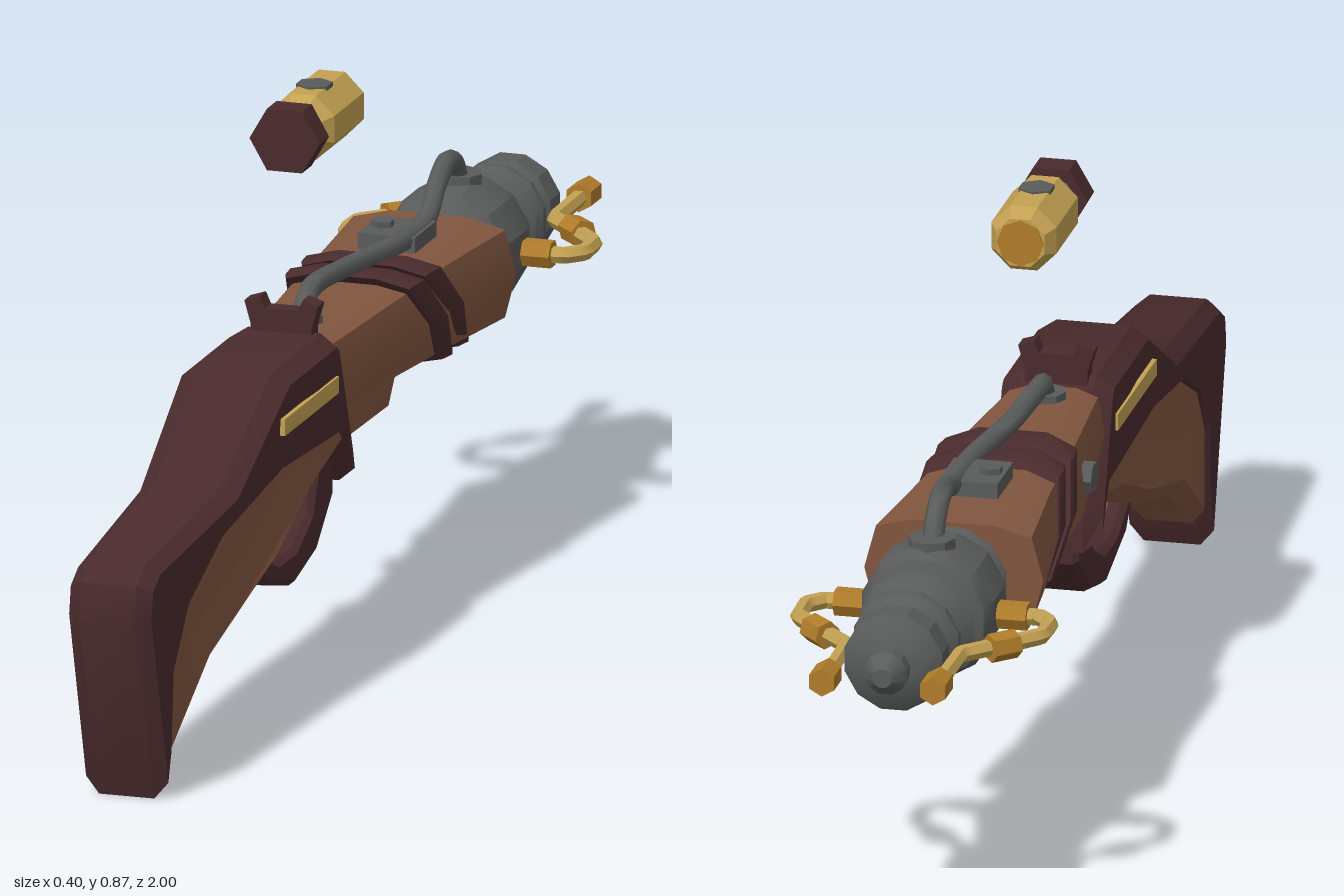
import * as THREE from 'three';
import { toCreasedNormals } from 'three/addons/utils/BufferGeometryUtils.js';

const mat = (name, color) => Object.assign(new THREE.MeshStandardMaterial({ color }), { name });

export function createModel() {
  const root = new THREE.Group();
  root.name = 'rayRifle';
  const dark = mat('darkWood', 0x4a2b2d), wood = mat('lightWood', 0x81563f), steel = mat('steel', 0x5a5b5b),
    brass = mat('brass', 0xc3a152), bronze = mat('bronze', 0xb07c2a);

  const add = (name, geo, material, crease = 0.5) => {
    const mesh = new THREE.Mesh(toCreasedNormals(geo, crease), material);
    mesh.name = name;
    root.add(mesh);
    return mesh;
  };

  // Side profile of [z, y] points, thickened across x and bevelled
  const side = (pts, half, bevel, thick) => {
    const depth = 2 * (half - thick);
    const g = new THREE.ExtrudeGeometry(new THREE.Shape(pts.map(p => new THREE.Vector2(...p))), {
      depth, bevelEnabled: bevel > 0, bevelSize: bevel, bevelOffset: -bevel, bevelThickness: thick, bevelSegments: 1,
    });
    return g.translate(0, 0, -depth / 2).rotateY(-Math.PI / 2);
  };

  // Narrow the stock towards the butt
  const taper = g => {
    const p = g.attributes.position;
    for (let i = 0; i < p.count; i++) {
      const t = THREE.MathUtils.clamp((p.getZ(i) - 0.45) / 0.4, 0, 1);
      p.setX(i, p.getX(i) * (1 - 0.24 * t));
    }
    return g;
  };

  // Faceted body lofted through [z, halfWidth, top, bottom] sections, going from +z to -z
  const half = [[0.87, -0.85], [1, 0], [0.87, 0.82], [0.45, 1]];
  const ring = [[0.45, -1], ...half, ...[...half].reverse().map(([x, y]) => [-x, y]), [-0.45, -1]];
  const loft = (sections, shear = 0) => {
    const n = ring.length, pos = [], idx = [];
    sections.forEach(([z, w, top, bot]) => ring.forEach(([x, y]) => {
      const py = (top + bot) / 2 + y * (top - bot) / 2;
      pos.push(x * w, py, z + shear * (py - 0.45));
    }));
    for (let s = 0; s < sections.length - 1; s++) for (let j = 0; j < n; j++) {
      const a = s * n + j, b = s * n + (j + 1) % n;
      idx.push(a, a + n, b + n, a, b + n, b);
    }
    const e = (sections.length - 1) * n;
    for (let j = 1; j < n - 1; j++) idx.push(0, j, j + 1, e, e + j + 1, e + j);
    const g = new THREE.BufferGeometry();
    g.setAttribute('position', new THREE.Float32BufferAttribute(pos, 3));
    g.setIndex(idx);
    g.computeVertexNormals();
    return g;
  };

  // Turned shape along -z from [radius, -z] points
  const turned = (pts, sides) => new THREE.LatheGeometry(pts.map(p => new THREE.Vector2(...p)), sides,
    Math.PI / sides).rotateX(-Math.PI / 2);

  // Short rod centred at a point and pointing along a direction
  const rod = (name, at, dir, r, len, material, sides = 6) => {
    const m = add(name, new THREE.CylinderGeometry(r, r, len, sides), material);
    m.position.set(...at);
    m.quaternion.setFromUnitVectors(new THREE.Vector3(0, 1, 0), new THREE.Vector3(...dir).normalize());
    return m;
  };

  // Stock: dark shell with a lighter belly
  add('stockShell', taper(side([[1, 0.3], [0.99, 0.355], [0.945, 0.38], [0.62, 0.41], [0.4, 0.53], [0.17, 0.53],
    [0.15, 0.515], [0.085, 0.34], [0.085, 0.28], [0.15, 0.36], [0.43, 0.375], [0.67, 0.335], [0.8, 0.27],
    [0.86, 0.19], [0.87, 0.07], [0.905, 0.005]], 0.085, 0.018, 0.028)), dark);
  add('stockBelly', taper(side([[0.885, 0.045], [0.7, 0.155], [0.43, 0.235], [0.27, 0.3], [0.1, 0.34], [0.1, 0.42],
    [0.43, 0.42], [0.67, 0.38], [0.89, 0.27]], 0.077, 0.025, 0.03)), wood);

  // Rear sight with a notch
  const sight = new THREE.Shape([[-0.048, 0.5], [0.048, 0.5], [0.048, 0.54], [0.058, 0.575], [0.034, 0.583],
    [0.026, 0.565], [-0.026, 0.565], [-0.034, 0.583], [-0.058, 0.575], [-0.048, 0.54]].map(p => new THREE.Vector2(...p)));
  add('rearSight', new THREE.ExtrudeGeometry(sight, { depth: 0.03, bevelEnabled: false }).translate(0, 0, 0.155), dark);

  // Trigger and its guard
  add('triggerGuard', side([[0.46, 0.26], [0.4, 0.2], [0.27, 0.165], [0.165, 0.19], [0.085, 0.26], [0.085, 0.38],
    [0.17, 0.38], [0.165, 0.31], [0.19, 0.255], [0.26, 0.22], [0.34, 0.22], [0.42, 0.255], [0.45, 0.29]],
  0.05, 0.008, 0.01), dark);
  add('trigger', side([[0.42, 0.3], [0.42, 0.25], [0.385, 0.228], [0.26, 0.3], [0.26, 0.34]], 0.022, 0, 0), brass);

  // Brass inlays
  for (const s of [-1, 1]) {
    add('sideInlay', new THREE.BoxGeometry(0.008, 0.026, 0.25).translate(s * 0.085, 0.456, 0.305), brass);
  }

  // Flared wooden barrel and fore-end
  add('barrel', loft([[0.14, 0.078, 0.52, 0.385], [-0.1, 0.1, 0.525, 0.385], [-0.3, 0.115, 0.53, 0.376],
    [-0.505, 0.137, 0.53, 0.368]]), wood);
  add('foreEnd', loft([[0.12, 0.065, 0.43, 0.33], [-0.135, 0.07, 0.43, 0.33], [-0.15, 0.066, 0.43, 0.345]]), wood);

  // Slanted wraps round the barrel
  for (const z of [-0.19, -0.265]) {
    add('barrelWrap', loft([[z, 0.111, 0.538, 0.368], [z - 0.012, 0.116, 0.542, 0.364],
      [z - 0.046, 0.12, 0.542, 0.362], [z - 0.058, 0.117, 0.539, 0.365]], 0.9), dark);
  }

  // Ribbed steel muzzle
  const muzzle = add('muzzle', turned([[0, 0.48], [0.07, 0.48], [0.062, 0.505], [0.09, 0.53], [0.068, 0.55],
    [0.098, 0.575], [0.104, 0.6], [0.104, 0.675], [0.095, 0.7], [0.058, 0.715], [0.09, 0.742], [0.058, 0.77],
    [0.083, 0.8], [0.083, 0.812], [0.06, 0.835], [0.077, 0.85], [0.077, 0.895], [0.05, 0.915],
    [0.032, 0.92], [0.034, 0.945], [0.015, 0.968], [0, 0.968]], 12), steel);
  muzzle.position.y = 0.445;

  // Bent prongs either side of the muzzle
  for (const s of [-1, 1]) {
    const at = (x, z) => [s * x, 0.443, z];
    const path = new THREE.CurvePath();
    const pts = [[0.09, -0.645], [0.165, -0.645], [0.188, -0.67], [0.186, -0.725], [0.14, -0.775], [0.087, -0.83],
      [0.085, -0.98]].map(p => new THREE.Vector3(...at(...p)));
    for (let i = 1; i < pts.length; i++) path.add(new THREE.LineCurve3(pts[i - 1], pts[i]));
    add('prong', new THREE.TubeGeometry(path, 48, 0.013, 6), brass, 0.7);
    rod('prongBase', at(0.125, -0.645), [1, 0, 0], 0.022, 0.045, bronze);
    rod('prongJoint', at(0.14, -0.78), [s, 0, 1], 0.022, 0.045, bronze);
    rod('prongTip', at(0.085, -0.975), [0, 0, 1], 0.022, 0.05, bronze);
  }

  // Pipe from the receiver to the muzzle, with its fittings
  const pipe = new THREE.CatmullRomCurve3([[0, 0.51, 0.09], [0, 0.545, 0.075], [-0.005, 0.558, 0.03],
    [0.005, 0.553, -0.12], [0.03, 0.548, -0.28], [0.03, 0.55, -0.4], [0.015, 0.582, -0.5], [0.004, 0.592, -0.58],
    [0, 0.575, -0.625], [0, 0.53, -0.645]].map(p => new THREE.Vector3(...p)));
  add('pipe', new THREE.TubeGeometry(pipe, 32, 0.016, 8), steel, 0.9);
  rod('pipeRearCollar', [0, 0.523, 0.085], [0, 1, 0], 0.032, 0.02, steel, 8);
  rod('pipeFrontCollar', [0, 0.545, -0.645], [0, 1, 0], 0.036, 0.025, steel, 8);
  add('pipeClamp', new THREE.BoxGeometry(0.09, 0.032, 0.1).translate(0.005, 0.538, -0.34), steel);
  rod('clampBolt', [-0.018, 0.556, -0.34], [0, 1, 0], 0.018, 0.014, steel);
  rod('sideBolt', [-0.1, 0.455, -0.06], [1, 0, 0], 0.024, 0.02, steel);

  // Floating canister
  const canister = add('canister', turned([[0, -0.105], [0.038, -0.105], [0.054, -0.085], [0.054, 0.052],
    [0.04, 0.075], [0, 0.075]], 8), brass);
  canister.position.y = 0.822;
  rod('canisterEnd', [0, 0.822, -0.075], [0, 0, 1], 0.036, 0.006, bronze, 8);
  rod('canisterNeck', [0, 0.822, 0.112], [0, 0, 1], 0.036, 0.03, steel, 8);
  add('canisterCap', new THREE.CylinderGeometry(0.055, 0.055, 0.045, 6, 1, false, Math.PI / 6)
    .rotateX(Math.PI / 2).translate(0, 0.822, 0.147), dark);
  rod('canisterBolt', [0, 0.869, 0.03], [0, 1, 0], 0.028, 0.012, steel);

  return root;
}
